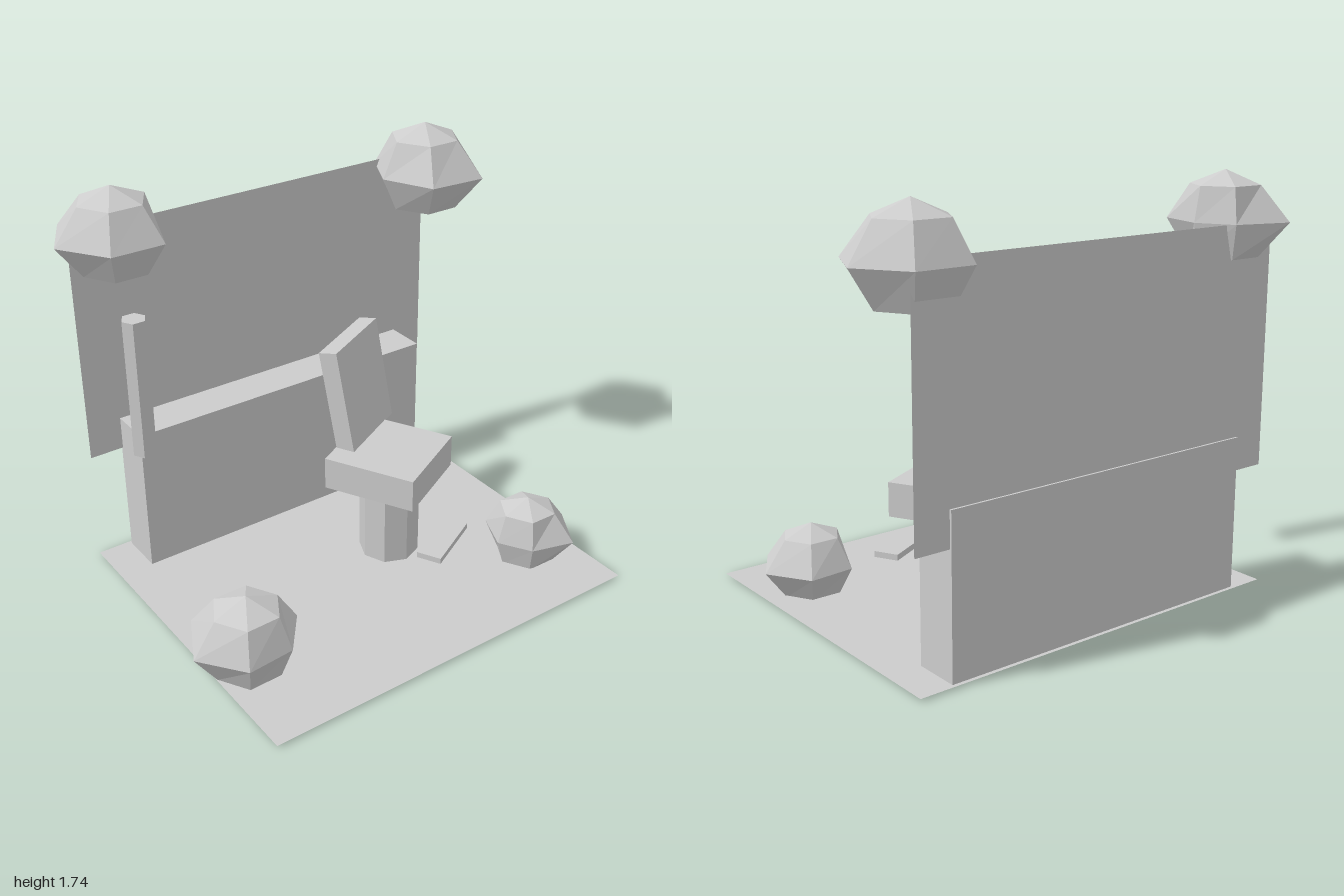
import * as THREE from 'three';

const grey = new THREE.MeshStandardMaterial({ color: 0xcccccc, flatShading: true, side: THREE.DoubleSide });

function part(parent, name, geometry, x, y, z) {
  const mesh = new THREE.Mesh(geometry, grey);
  mesh.name = name;
  mesh.position.set(x, y, z);
  parent.add(mesh);
  return mesh;
}

// Faceted dome, open underneath; "corners" are the uneven [x, z] points of its widest ring
function domeGeometry(r, corners) {
  const positions = [], indices = [];
  const k = Math.SQRT1_2 * r;
  const order = corners.map((c) => c).sort((a, b) => Math.atan2(a[1], a[0]) - Math.atan2(b[1], b[0]));
  positions.push(0, r, 0);
  for (const [y, radius] of [[k, k], [0, null], [-k, k]]) {
    for (const [x, z] of order) {
      const s = radius === null ? 1 : radius / Math.hypot(x, z);
      positions.push(x * s, y, z * s);
    }
  }
  for (let i = 0; i < 6; i++) {
    const j = (i + 1) % 6;
    indices.push(0, 1 + j, 1 + i);
    for (const row of [1, 7]) {
      const a = row + i, b = row + j;
      indices.push(a, b, b + 6, a, b + 6, a + 6);
    }
  }
  const geometry = new THREE.BufferGeometry();
  geometry.setAttribute('position', new THREE.Float32BufferAttribute(positions, 3));
  geometry.setIndex(indices);
  const flat = geometry.toNonIndexed();
  flat.computeVertexNormals();
  return flat;
}

export function createModel() {
  const model = new THREE.Group();
  model.name = 'room';

  // Floor, back wall and counter
  part(model, 'floor', new THREE.PlaneGeometry(1.755, 1.46).rotateX(-Math.PI / 2), -0.022, 0.012, 0.04);
  part(model, 'backWall', new THREE.PlaneGeometry(1.755, 1.02), -0.022, 1.03, -0.665);
  part(model, 'counter', new THREE.BoxGeometry(1.455, 0.655, 0.194), -0.022, 0.338, -0.577);

  // Hanging six-sided pole
  part(model, 'pole', new THREE.CylinderGeometry(0.05, 0.05, 0.585, 6).rotateY(Math.PI / 6), -0.84, 1.033, -0.25);

  // Chair, with its seat, back and footrest turned to one side
  const chair = new THREE.Group();
  chair.name = 'chair';
  model.add(chair);
  const yaw = 0.485;
  part(chair, 'stem', new THREE.CylinderGeometry(0.131, 0.131, 0.365, 8), 0.18, 0.193, 0.01);
  part(chair, 'seat', new THREE.BoxGeometry(0.41, 0.145, 0.41), 0.182, 0.448, 0.003).rotation.y = yaw;
  part(chair, 'backrest', new THREE.BoxGeometry(0.38, 0.465, 0.083).rotateX(-0.18), 0.166, 0.738, -0.215).rotation.y = yaw;
  part(chair, 'footrest', new THREE.BoxGeometry(0.293, 0.026, 0.11), 0.27, 0.156, 0.275).rotation.y = yaw;

  // Four faceted domes: radius, centre, corners of the widest ring
  const domes = [
    ['upperRightDome', 0.202, [-0.75, 1.543, -0.548],
      [[-0.135, -0.225], [0.095, -0.152], [0.17, 0], [0.116, 0.203], [-0.114, 0.203], [-0.25, 0]]],
    ['upperLeftDome', 0.217, [0.745, 1.508, -0.512],
      [[-0.122, -0.203], [0.124, -0.203], [0.252, 0], [0.135, 0.242], [-0.122, 0.222], [-0.224, 0]]],
    ['lowerRightDome', 0.202, [-0.752, 0.153, 0.334],
      [[-0.128, -0.219], [0.097, -0.16], [0.231, 0], [0.102, 0.166], [-0.101, 0.182], [-0.24, 0]]],
    ['lowerLeftDome', 0.176, [0.64, 0.126, 0.402],
      [[-0.092, -0.164], [0.106, -0.18], [0.218, 0], [0.106, 0.189], [-0.081, 0.135], [-0.161, 0]]],
  ];
  for (const [name, r, centre, corners] of domes) part(model, name, domeGeometry(r, corners), ...centre);

  return model;
}
